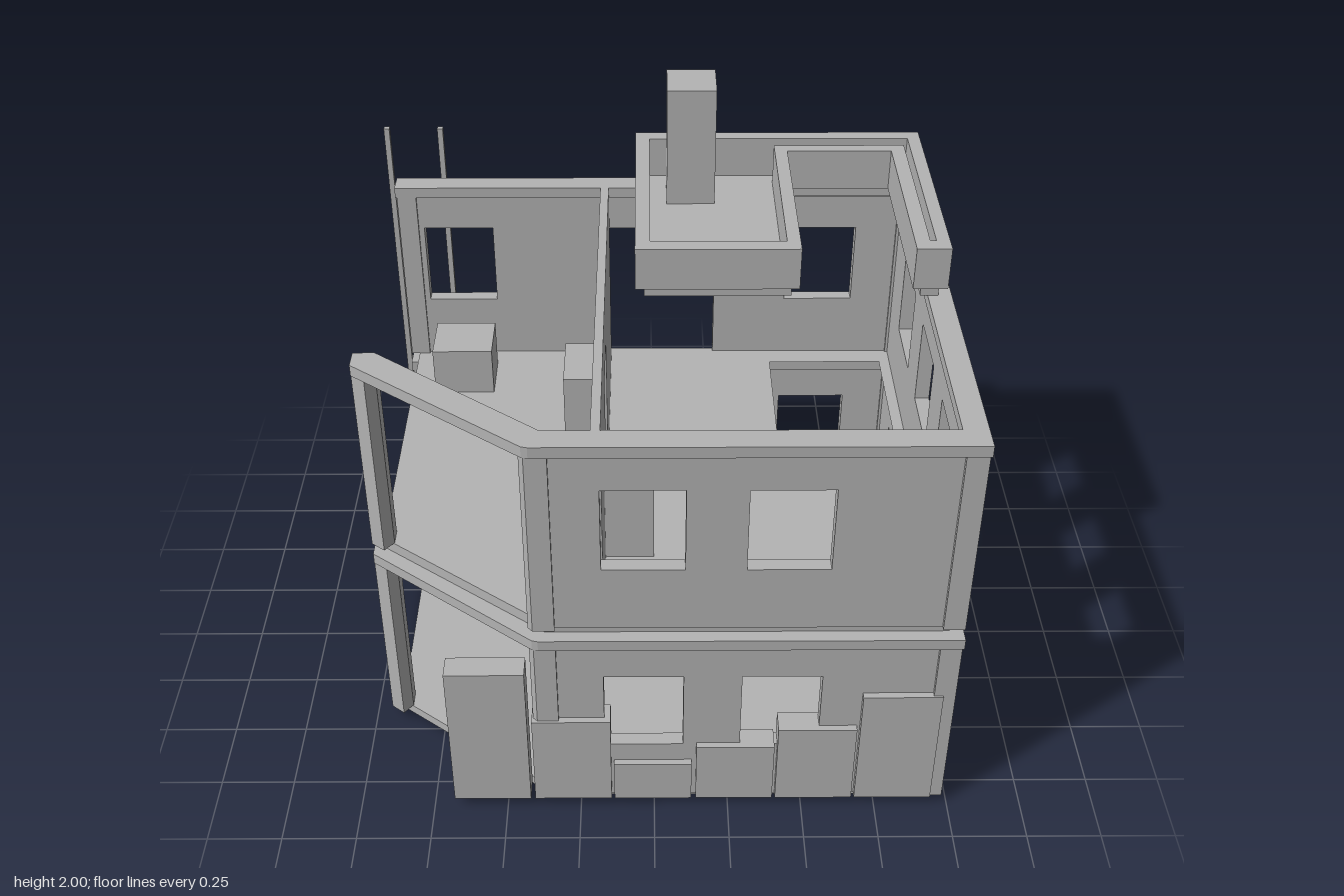
import * as THREE from 'three';

export function createModel() {
  const house = new THREE.Group();
  house.name = 'house';
  const grey = new THREE.MeshStandardMaterial({ color: 0xb4b4b4 });
  grey.name = 'concrete grey';

  function add(parent, name, geometry) {
    const mesh = new THREE.Mesh(geometry, grey);
    mesh.name = name;
    parent.add(mesh);
    return mesh;
  }
  function box(parent, name, x0, x1, y0, y1, z0, z1) {
    const g = new THREE.BoxGeometry(x1 - x0, y1 - y0, z1 - z0);
    g.translate((x0 + x1) / 2, (y0 + y1) / 2, (z0 + z1) / 2);
    return add(parent, name, g);
  }
  const polygon = (pts) => new THREE.Shape(pts.map(([a, b]) => new THREE.Vector2(a, b)));
  const rect = (a0, a1, b0, b1) => [[a0, b0], [a1, b0], [a1, b1], [a0, b1]];

  // Plan outline in x, z raised between two heights
  function prism(parent, name, pts, y0, y1, hole) {
    const flip = (list) => list.map(([x, z]) => [x, -z]);
    const shape = polygon(flip(pts));
    if (hole) shape.holes.push(polygon(flip(hole)));
    const g = new THREE.ExtrudeGeometry(shape, { depth: y1 - y0, bevelEnabled: false });
    g.rotateX(-Math.PI / 2).translate(0, y0, 0);
    return add(parent, name, g);
  }

  // Wall panel with window holes and an optional doorway notch in the lower edge
  function panel(a0, a1, height, windows, depth, door) {
    const pts = [[a0, 0]];
    if (door) pts.push([door[0], 0], [door[0], door[2]], [door[1], door[2]], [door[1], 0]);
    pts.push([a1, 0], [a1, height], [a0, height]);
    const shape = polygon(pts);
    for (const [w0, w1] of windows) shape.holes.push(polygon(rect(w0, w1, 0.24, 0.55)));
    return new THREE.ExtrudeGeometry(shape, { depth, bevelEnabled: false });
  }

  const stairHole = rect(0.455, 0.88, -0.67, 0.1);
  const slab = [[-0.91, -0.77], [0.94, -0.77], [0.94, 0.81], [-0.35, 0.81], [-0.91, 0.39]];
  const H = 0.725, T = 0.04; // storey height, cornice height

  // Floor slabs
  prism(house, 'groundSlab', slab, 0, 0.035);
  prism(house, 'upperSlab', slab, 0.76, 0.8, stairHole);

  // Outer walls, the same on both storeys
  for (const base of [0.035, 0.8]) {
    const storey = new THREE.Group();
    storey.name = base < 0.5 ? 'lowerStorey' : 'upperStorey';
    storey.position.y = base;
    house.add(storey);
    const P = H - T;

    const front = panel(-0.33, 0.92, P, [[-0.165, 0.095], [0.285, 0.545]], 0.05);
    add(storey, 'frontWall', front.translate(0, 0, 0.785));
    const back = panel(-0.88, 0.92, P, [[-0.85, -0.595], [0.505, 0.76]], 0.05, [-0.18, 0.235, 0.55]);
    add(storey, 'backWall', back.translate(0, 0, -0.8));
    const side = panel(-0.745, 0.785, P, [[0.37, 0.63], [-0.08, 0.18], [-0.53, -0.27]], 0.05);
    add(storey, 'sideWall', side.rotateY(-Math.PI / 2).translate(0.97, 0, 0));

    // Corner piers
    box(storey, 'cornerPier', 0.91, 0.98, 0, P, -0.81, -0.74);
    box(storey, 'cornerPier', 0.91, 0.98, 0, P, 0.78, 0.85);
    box(storey, 'cornerPier', -0.94, -0.87, 0, P, -0.81, -0.74);
    prism(storey, 'frontPier', [[-0.315, 0.775], [-0.315, 0.85], [-0.385, 0.85], [-0.4, 0.835], [-0.345, 0.775]], 0, P);
    prism(storey, 'openCornerPost', [[-0.945, 0.355], [-0.87, 0.355], [-0.87, 0.415], [-0.9, 0.455], [-0.945, 0.42]], 0, P);

    // Cornice beams
    box(storey, 'frontCornice', -0.37, 0.985, P, H, 0.77, 0.855);
    box(storey, 'backCornice', -0.945, 0.985, P, H, -0.815, -0.735);
    box(storey, 'sideCornice', 0.905, 0.985, P, H, -0.735, 0.77);
    prism(storey, 'diagonalBeam',
      [[-0.945, 0.355], [-0.875, 0.355], [-0.34, 0.77], [-0.37, 0.855], [-0.39, 0.85], [-0.945, 0.425]], P, H);

    // Crate beside the back window
    box(storey, 'crate', -0.82, -0.6, 0, 0.183, -0.67, -0.47);
  }

  // Partition with a doorway on the upper storey
  const partition = panel(-0.75, 0.785, H, [], 0.03, [-0.02, 0.24, 0.53]);
  add(house, 'partition', partition.rotateY(-Math.PI / 2).translate(-0.16, 0.8, 0));

  // Cabinets
  box(house, 'lowerCabinet', 0.24, 0.455, 0.035, 0.4, -0.75, -0.62);
  box(house, 'upperCabinet', -0.31, -0.19, 0.8, 1.165, -0.245, -0.02);
  box(house, 'upperCabinet', -0.16, 0, 0.8, 1.155, 0.27, 0.49);

  // Stair flight rising to the front
  const steps = 12, run = 0.0607, rise = 0.765 / steps;
  const flight = [[-0.65, 0.035]];
  for (let i = 0; i < steps; i++) {
    const y = 0.035 + rise * (i + 1);
    flight.push([-0.65 + run * i, y], [-0.65 + run * (i + 1), y]);
  }
  flight.push([-0.65 + run * steps, 0.035]);
  const stairs = new THREE.ExtrudeGeometry(polygon(flight), { depth: 0.37, bevelEnabled: false });
  add(house, 'stairs', stairs.rotateY(-Math.PI / 2).translate(0.85, 0, 0));

  // Roof slab, notched for the stairs
  prism(house, 'roofSlab', [[-0.03, -0.77], [0.94, -0.77], [0.94, 0.02], [0.88, 0.02],
    [0.88, -0.67], [0.455, -0.67], [0.455, 0.02], [-0.03, 0.02]], 1.525, 1.567);

  // Outer parapet joined to the one around the stair opening
  const parapets = [
    [-0.06, 0.965, -0.8, -0.75], [-0.06, -0.01, -0.75, 0.045], [0.92, 0.965, -0.75, 0.045],
    [-0.01, 0.48, -0.01, 0.045], [0.85, 0.92, -0.01, 0.045],
    [0.435, 0.9, -0.695, -0.65], [0.435, 0.48, -0.65, -0.01], [0.85, 0.9, -0.65, -0.01],
  ];
  for (const [x0, x1, z0, z1] of parapets) box(house, 'parapet', x0, x1, 1.565, 1.715, z0, z1);
  box(house, 'chimney', 0.05, 0.22, 1.565, 2, -0.71, -0.535);

  // Upright boards of varied height along the front and at the back corner
  const boards = [[-0.68, -0.42, 0.615], [-0.405, -0.145, 0.4], [-0.135, 0.125, 0.2],
    [0.14, 0.4, 0.28], [0.41, 0.67, 0.36], [0.68, 0.94, 0.51]];
  for (const [x0, x1, top] of boards) box(house, 'board', x0, x1, 0.035, top, 0.775, 0.858);
  box(house, 'backBoard', -0.99, -0.91, 0.035, 0.4, -0.76, -0.55);

  // Thin poles behind the back wall
  for (const x of [-0.97, -0.775]) box(house, 'pole', x - 0.01, x + 0.01, 0.035, 1.71, -0.865, -0.843);

  return house;
}
